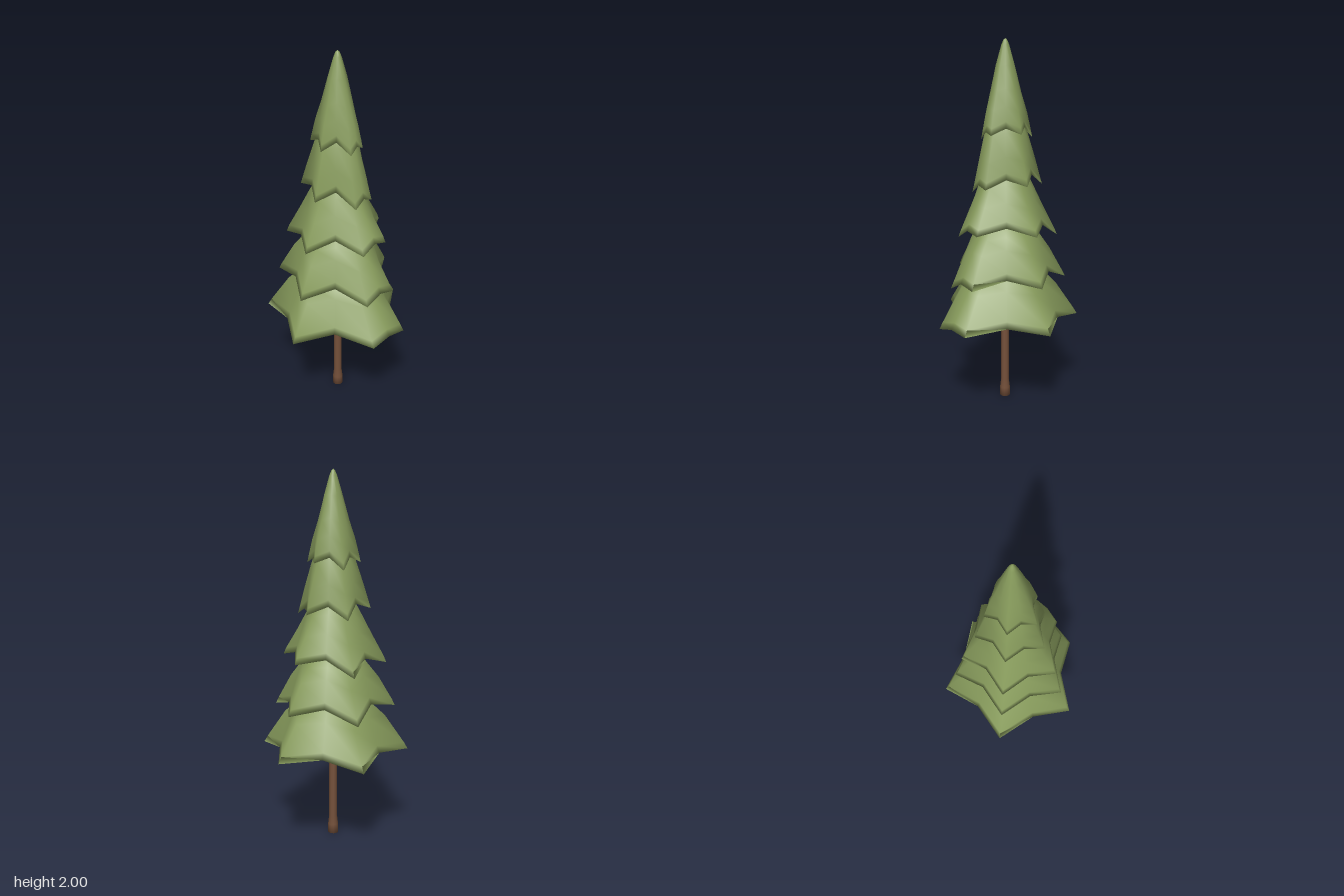
import * as THREE from 'three';

// Trunk axis on the ground plane
const CX = -0.015, CZ = -0.01;

// Star outline of a full-size branch tier: x, z, height offset of the rim
const STAR = [
  [0.12, -0.40, 0.01], [0.22, -0.195, 0.04],
  [0.395, -0.05, 0.005], [0.37, 0.06, 0.02],
  [0.34, 0.17, -0.02], [0.13, 0.235, 0.045],
  [-0.03, 0.395, 0], [-0.185, 0.24, 0.04],
  [-0.395, 0.145, 0.01], [-0.31, -0.065, 0.04],
  [-0.315, -0.295, -0.025], [-0.09, -0.31, 0.04],
].map(([x, z, dy]) => ({
  angle: Math.atan2(z - CZ, x - CX),
  radius: Math.hypot(x - CX, z - CZ),
  dy,
}));
const ROUND = 0.345; // radius the outline relaxes to higher up

// Closed skin through rings of [scale, y, star amount], from the top
// over the rim to a shallow cone underneath
function tierGeometry(rings, lift, tilt, innerY) {
  const n = STAR.length, pos = [], index = [];
  for (const [scale, y, star] of rings) {
    for (const p of STAR) {
      const r = scale * (star * p.radius + (1 - star) * ROUND);
      const x = r * Math.cos(p.angle);
      pos.push(x, y + (p.dy * lift + x * tilt) * star, r * Math.sin(p.angle));
    }
  }
  for (let i = 0; i < rings.length - 1; i++) {
    for (let j = 0; j < n; j++) {
      const k = (j + 1) % n;
      const a = i * n + j, b = i * n + k, c = a + n, d = b + n;
      index.push(a, b, c, b, d, c);
    }
  }
  // Top point and centre of the underside
  const top = pos.length / 3, last = (rings.length - 1) * n;
  pos.push(0, rings[0][1] + 0.008, 0, 0, innerY, 0);
  for (let j = 0; j < n; j++) {
    const k = (j + 1) % n;
    index.push(top, k, j, top + 1, last + j, last + k);
  }
  const g = new THREE.BufferGeometry();
  g.setAttribute('position', new THREE.Float32BufferAttribute(pos, 3));
  g.setIndex(index);
  g.computeVertexNormals();
  return g;
}

// Tiers from bottom to top: rim scale, rim height, strength of the rim's
// zigzag, sideways tilt, rings down to the shoulder
const TIERS = [
  { s: 1.0, y: 0.485, lift: 0.75, tilt: 0, upper: [[0.35, 0.83, 0], [0.58, 0.74, 0.4], [0.725, 0.675, 0.7]] },
  { s: 0.82, y: 0.72, lift: 1.2, tilt: -0.02, upper: [[0.3, 1.08, 0], [0.51, 0.96, 0.4], [0.63, 0.885, 0.7]] },
  { s: 0.7, y: 0.98, lift: 1.2, tilt: 0.06, upper: [[0.22, 1.38, 0], [0.42, 1.23, 0.4], [0.54, 1.125, 0.7]] },
  { s: 0.49, y: 1.243, lift: 1.2, tilt: -0.08, upper: [[0.16, 1.66, 0], [0.33, 1.51, 0.4], [0.42, 1.375, 0.7]] },
  { s: 0.355, y: 1.505, lift: 1, tilt: 0, upper: [[0.028, 1.99, 0], [0.06, 1.965, 0], [0.145, 1.86, 0.1], [0.23, 1.73, 0.4], [0.3, 1.63, 0.7]] },
];

export function createModel() {
  const needles = new THREE.MeshStandardMaterial({ color: 0x879b5c });
  needles.name = 'needle green';
  const bark = new THREE.MeshStandardMaterial({ color: 0x74503a });
  bark.name = 'bark brown';

  const tree = new THREE.Group();
  tree.name = 'pineTree';

  // Trunk with a slightly flared foot
  const profile = [[0, 0], [0.028, 0], [0.028, 0.05], [0.022, 0.1], [0.021, 0.8], [0, 0.8]];
  const trunk = new THREE.Mesh(
    new THREE.LatheGeometry(profile.map(([x, y]) => new THREE.Vector2(x, y)), 12), bark);
  trunk.name = 'trunk';
  tree.add(trunk);

  // Overlapping branch tiers, each with a thin rim and a shallow hollow underside
  TIERS.forEach(({ s, y, lift, tilt, upper }, i) => {
    const mesh = new THREE.Mesh(tierGeometry([
      ...upper,
      [s * 0.95, y + 0.035, 1],
      [s, y, 1],
      [s * 0.93, y + 0.035, 0.98],
    ], lift, tilt, y + 0.1), needles);
    mesh.name = 'branchTier' + (i + 1);
    tree.add(mesh);
  });

  tree.position.set(CX, 0, CZ);
  const model = new THREE.Group();
  model.name = 'model';
  model.add(tree);
  return model;
}
